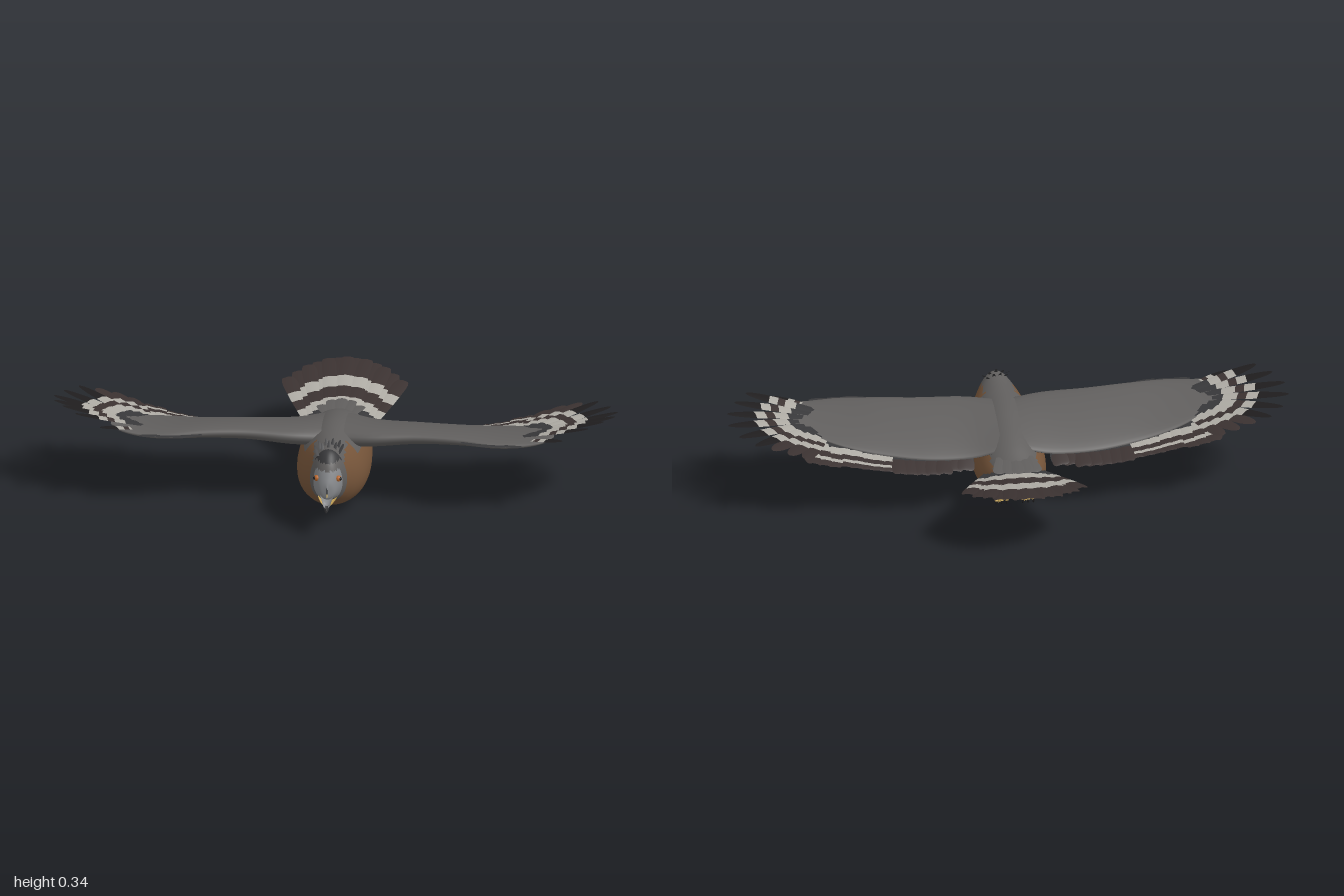
import * as THREE from 'three';

const mat = (name, color, double) => {
  const m = new THREE.MeshStandardMaterial({ color });
  m.name = name;
  if (double) m.side = THREE.DoubleSide;
  return m;
};
const SLATE = 0, CHARCOAL = 1, BROWN = 2, BAR = 3, PALE = 4, FACE = 5, YELLOW = 6, BLACK = 7, ORANGE = 8;
const V = (x, y, z) => new THREE.Vector3(x, y, z);

// Smoothly resample a short table of key rows
function resample(rows, count) {
  const curve = new THREE.CubicInterpolant(rows.map((_, i) => i), rows.flat(), rows[0].length);
  return Array.from({ length: count }, (_, i) =>
    Array.from(curve.evaluate(i / (count - 1) * (rows.length - 1))));
}

// Grid of points to a surface, with a colour chosen for each cell
function surface(rows, pick, closed) {
  const n = rows[0].length, buckets = {};
  for (let i = 0; i < rows.length - 1; i++) {
    for (let j = 0; j < (closed ? n : n - 1); j++) {
      const k = (j + 1) % n, a = i * n + j, b = i * n + k, c = a + n, d = b + n;
      const mid = rows[i][j].clone().add(rows[i + 1][k]).multiplyScalar(0.5);
      (buckets[pick(i, j, mid)] ??= []).push(a, b, c, b, d, c);
    }
  }
  const geo = new THREE.BufferGeometry().setFromPoints(rows.flat());
  const index = [], used = [];
  for (const [m, list] of Object.entries(buckets)) {
    geo.addGroup(index.length, list.length, used.length);
    used.push(+m);
    index.push(...list);
  }
  geo.setIndex(index);
  geo.computeVertexNormals();
  return { geo, used };
}

// Rounded rings along z from rows of [z, top, bottom, half width]
function rings(rows, count, sides = 48) {
  return resample(rows, count).map(([z, t, b, w]) => Array.from({ length: sides }, (_, j) => {
    const a = j / sides * Math.PI * 2;
    return V(w * Math.sin(a) * (1 - 0.13 * Math.cos(a)), (t + b) / 2 + (t - b) / 2 * Math.cos(a), z);
  }));
}

export function createModel() {
  const bird = new THREE.Group();
  bird.name = 'birdOfPrey';
  const mats = [
    mat('slate', 0x605e5d, true), mat('charcoal', 0x38383a, true), mat('russetBrown', 0x76553a),
    mat('darkBar', 0x3b3231, true), mat('paleBar', 0xaeaba4, true), mat('faceGrey', 0x85878a),
    mat('yellow', 0xc8a557), mat('black', 0x1f1d1e, true), mat('orange', 0xb5652c),
  ];
  const add = (name, geo, m, parent = bird) => {
    const mesh = new THREE.Mesh(geo, Array.isArray(m) ? m.map(i => mats[i]) : mats[m]);
    mesh.name = name;
    parent.add(mesh);
    return mesh;
  };
  const loft = (name, rows, pick, parent) => {
    const { geo, used } = surface(rows, pick, true);
    return add(name, geo, used, parent);
  };

  // One barred feather; bands are [end fraction, colour]
  function feather(name, root, tip, width, bands, { point = 0.8, roll = 0, parent = bird } = {}) {
    const dir = tip.clone().sub(root);
    const side = V(0, 1, 0).cross(dir).normalize();
    const up = dir.clone().cross(side).normalize();
    side.addScaledVector(up, roll).normalize();
    const ts = [0, 0.2, 0.4, 0.6, 0.75, 0.85, 0.91, 0.95, 0.98, 1, ...bands.map(b => b[0])];
    const steps = [...new Set(ts)].sort((a, b) => a - b);
    const rows = steps.map(t => {
      const taper = t > point ? Math.sqrt(Math.max(0, 1 - ((t - point) / (1 - point)) ** 2)) : 1;
      const w = width / 2 * (0.65 + 0.35 * Math.min(1, t * 1.6)) * taper;
      const c = root.clone().lerp(tip, t);
      return [-1, 0, 1].map(s => c.clone().addScaledVector(side, s * w).addScaledVector(up, s ? 0 : 0.15 * w));
    });
    const pick = i => bands.find(b => (steps[i] + steps[i + 1]) / 2 <= b[0])[1];
    const { geo, used } = surface(rows, pick, false);
    add(name, geo, used, parent);
  }

  // Body and head: slate back, brown breast and flanks, grey face
  const body = rings([
    [0.5, 0.19, 0.15, 0.002], [0.49, 0.218, 0.142, 0.026], [0.465, 0.27, 0.128, 0.044],
    [0.43, 0.302, 0.11, 0.06], [0.39, 0.306, 0.085, 0.08], [0.34, 0.302, 0.055, 0.1],
    [0.27, 0.3, 0.03, 0.119], [0.18, 0.298, 0.01, 0.128], [0.1, 0.29, 0.004, 0.129],
    [0, 0.268, 0.02, 0.124], [-0.07, 0.245, 0.055, 0.113], [-0.14, 0.215, 0.105, 0.085],
    [-0.2, 0.198, 0.15, 0.055], [-0.24, 0.19, 0.175, 0.003],
  ], 80);
  loft('body', body, (i, j, p) => {
    if (p.z > 0.42) {
      if (p.z > 0.452 && p.y < 0.245 && p.y > 0.14) return FACE;
      return p.y > 0.27 ? CHARCOAL : SLATE;
    }
    if (p.z > 0.29) return Math.abs(p.x) < 0.055 && p.y > 0.2 ? SLATE : BROWN;
    if (p.z < -0.17) return p.y > 0.175 ? SLATE : CHARCOAL;
    return p.y > (p.z > 0 ? 0.235 : 0.235 + p.z * 0.4) ? SLATE : BROWN;
  });

  // Hooked beak with a dark tip, and the yellow lower mandible
  loft('upperBeak', rings([
    [0.465, 0.225, 0.15, 0.036], [0.49, 0.212, 0.142, 0.028], [0.508, 0.188, 0.134, 0.02],
    [0.52, 0.166, 0.112, 0.012], [0.528, 0.145, 0.105, 0.006], [0.531, 0.13, 0.116, 0.001],
  ], 16, 20), (i, j, p) => p.y < 0.125 ? CHARCOAL : p.z < 0.482 ? YELLOW : FACE);
  loft('lowerBeak', rings([
    [0.45, 0.165, 0.13, 0.037], [0.48, 0.155, 0.124, 0.028], [0.503, 0.142, 0.12, 0.015],
    [0.512, 0.132, 0.122, 0.001],
  ], 10, 20), () => YELLOW);

  // Raised crown feathers
  for (let i = 0; i < 9; i++) {
    const x = (i - 4) * 0.009, z = 0.435 - (i * 5 % 9) * 0.006;
    feather('crownFeather', V(x, 0.285, z), V(x * 1.4, 0.327 - Math.abs(x) * 0.5, z - 0.035), 0.014,
      [[1, CHARCOAL]], { point: 0.2 });
  }

  // Tail fan
  const tail = new THREE.Group();
  tail.name = 'tail';
  bird.add(tail);
  for (let i = 0; i < 13; i++) {
    const u = (i - 6) / 6, drop = 0.03 * u * u + 0.003 * (i % 2);
    feather('tailFeather', V(u * 0.085, 0.178 - drop, -0.08),
      V(u * 0.21, 0.25 - drop, -0.53 + 0.13 * Math.abs(u) ** 2.2), 0.056,
      [[0.27, CHARCOAL], [0.4, PALE], [0.55, BAR], [0.7, PALE], [0.965, BAR], [1, FACE]],
      { point: 0.86, roll: 0.1 * Math.sign(u), parent: tail });
  }
  // Feathers covering the tail base, above and below
  for (let i = -2; i <= 2; i++) {
    feather('upperTailCovert', V(i * 0.025, 0.215, -0.1), V(i * 0.034, 0.212 - 0.003 * i * i, -0.235 + 0.008 * i * i),
      0.045, [[1, SLATE]], { parent: tail });
    feather('underTailCovert', V(i * 0.025, 0.12, -0.1), V(i * 0.034, 0.16, -0.24 + 0.008 * i * i),
      0.045, [[1, CHARCOAL]], { parent: tail });
  }

  // Wing panel rows: [x, lead z, trail z, lead y, trail y, thickness]
  const wingRows = resample([
    [0.04, 0.25, -0.07, 0.265, 0.225, 0.08], [0.15, 0.268, -0.065, 0.275, 0.2, 0.075],
    [0.3, 0.268, -0.055, 0.285, 0.198, 0.06], [0.45, 0.285, -0.025, 0.288, 0.21, 0.05],
    [0.58, 0.308, 0.01, 0.284, 0.232, 0.038], [0.68, 0.3, 0.06, 0.284, 0.256, 0.028],
    [0.75, 0.28, 0.125, 0.292, 0.28, 0.018], [0.785, 0.24, 0.185, 0.298, 0.294, 0.008],
  ], 30);
  const rowAt = x => wingRows.reduce((a, b) => Math.abs(b[0] - x) < Math.abs(a[0] - x) ? b : a);
  const SIDES = 28;
  // Finger tips from the front of the wing to the back
  const tips = [
    [0.82, 0.31, 0.302], [0.91, 0.346, 0.268], [0.96, 0.345, 0.2], [0.995, 0.335, 0.13], [1, 0.322, 0.06],
    [0.97, 0.31, -0.015], [0.92, 0.302, -0.075], [0.86, 0.288, -0.09], [0.8, 0.27, -0.1], [0.745, 0.252, -0.1],
  ];

  for (const s of [1, -1]) {
    const wing = new THREE.Group();
    wing.name = s > 0 ? 'leftWing' : 'rightWing';
    bird.add(wing);

    // Covert panel with a rounded leading edge
    const panel = wingRows.map(([x, zl, zt, yl, yt, h]) => Array.from({ length: SIDES }, (_, j) => {
      const a = j / SIDES * Math.PI * 2, c = (1 - Math.cos(a)) / 2;
      const bulge = Math.sin(a) * h * (0.25 + 0.45 * c);
      return V(s * x, yt + (yl - yt) * c ** 0.8 + bulge, zt + (zl - zt) * c);
    }));
    if (s < 0) panel.reverse();
    loft('wingCoverts', panel, (i, j) => j < SIDES * 0.58 ? SLATE : CHARCOAL, wing);

    // Spread primaries
    tips.forEach(([x, y, z], i) => {
      const root = V(0.6, 0.272, 0.2).lerp(V(x, y, z), 0.12);
      root.y -= i * 0.002;
      root.x *= s;
      feather('primary', root, V(s * x, y, z), i < 7 ? 0.05 : 0.056,
        [[0.36, CHARCOAL], [0.5, PALE], [0.59, BAR], [0.7, PALE], [1, i < 7 ? BLACK : BAR]],
        { point: i < 7 ? 0.55 : 0.78, roll: -0.1 * s, parent: wing });
    });

    // Secondaries along the trailing edge
    for (let i = 0; i < 15; i++) {
      const x = 0.16 + i * 0.039, [, , zt, , yt] = rowAt(x);
      const tipZ = x < 0.2 ? -0.09 : x > 0.4 && x < 0.62 ? -0.093 : -0.11;
      const tip = V(s * (x + 0.012), 0.162 + 0.25 * Math.max(0, x - 0.3) ** 1.4, tipZ);
      const bands = x > 0.4
        ? [[0.34, CHARCOAL], [0.56, PALE], [0.72, BAR], [0.82, PALE], [0.97, BAR], [1, FACE]]
        : [[0.4, CHARCOAL], [0.95, BAR], [1, FACE]];
      feather('secondary', V(s * x, yt + 0.004, zt + 0.06), tip, 0.06, bands,
        { point: 0.82, roll: -0.12 * s, parent: wing });
      // Dark lining feathers beneath
      feather('underwingCovert', V(s * x, yt - 0.004, zt + 0.1),
        V(s * (x + 0.008), tip.y + 0.35 * (yt - tip.y) - 0.012, zt + 0.35 * (tipZ - zt)), 0.06,
        [[1, CHARCOAL]], { parent: wing });
    }

    // Small feathers at the wrist
    for (let i = 0; i < 3; i++) {
      feather('wristFeather', V(s * (0.46 + i * 0.06), 0.288, 0.285 + i * 0.006),
        V(s * (0.56 + i * 0.06), 0.286, 0.315 - i * 0.003), 0.03, [[1, CHARCOAL]], { point: 0.4, parent: wing });
    }

    // Eye
    const eye = add('eye', new THREE.SphereGeometry(0.011, 16, 12), ORANGE);
    eye.position.set(s * 0.038, 0.215, 0.468);
    const pupil = add('pupil', new THREE.SphereGeometry(0.006, 12, 10), BLACK);
    pupil.position.set(s * 0.045, 0.216, 0.472);

    // Tucked foot with curled toes
    const foot = new THREE.Group();
    foot.name = s > 0 ? 'leftFoot' : 'rightFoot';
    bird.add(foot);
    const tube = (name, pts, r, m) =>
      add(name, new THREE.TubeGeometry(new THREE.CatmullRomCurve3(pts), 12, r, 8), m, foot);
    tube('shank', [V(s * 0.045, 0.06, 0.02), V(s * 0.045, 0.04, -0.015), V(s * 0.045, 0.036, -0.055)], 0.009, YELLOW);
    for (const k of [-1, 0, 1]) {
      const x = s * 0.045 + k * 0.018;
      tube('toe', [V(s * 0.045, 0.036, -0.05), V(x, 0.045, -0.085), V(x * 1.05, 0.058, -0.108), V(x * 1.05, 0.05, -0.113)],
        0.006, YELLOW);
      tube('claw', [V(x * 1.05, 0.051, -0.113), V(x * 1.05, 0.043, -0.112), V(x * 1.05, 0.038, -0.106)], 0.003, BLACK);
    }
    tube('hindToe', [V(s * 0.045, 0.034, -0.045), V(s * 0.045, 0.02, -0.04), V(s * 0.045, 0.018, -0.06)], 0.006, YELLOW);
  }
  return bird;
}
